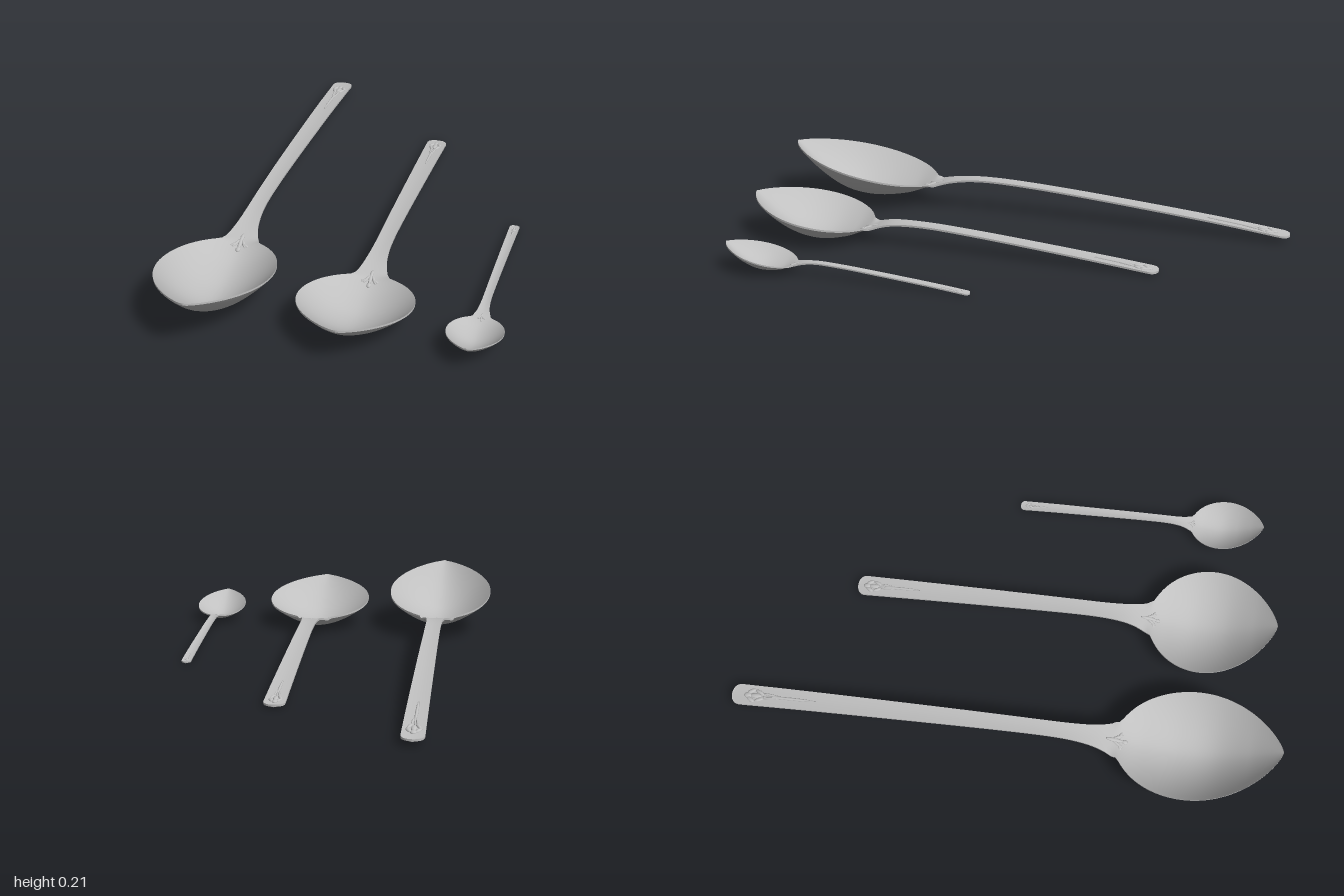
import * as THREE from 'three';
import { mergeGeometries } from 'three/addons/utils/BufferGeometryUtils.js';

// bend: [z, height] along the middle line, from handle end to bowl tip
const LARGE = {
  name: 'largeSpoon', x: -0.4, thick: 0.007, size: 1, neck: 0.41, widest: 0.68, halfBowl: 0.2,
  halfEnd: 0.039, halfShaft: 0.027, rimSlope: 0.19, flower: -0.91, stem: 0.21,
  bend: [[-1, 0.021], [-0.7, 0.055], [-0.3, 0.091], [0, 0.113], [0.2, 0.119], [0.33, 0.106], [0.43, 0.077],
    [0.52, 0.045], [0.65, 0.026], [0.77, 0.043], [0.89, 0.112], [1, 0.205]]
};
const MEDIUM = {
  name: 'mediumSpoon', x: 0.09, thick: 0.007, size: 0.9, neck: 0.48, widest: 0.69, halfBowl: 0.198,
  halfEnd: 0.038, halfShaft: 0.027, rimSlope: 0.176, flower: -0.555, stem: 0.16,
  bend: [[-0.617, 0.008], [-0.4, 0.03], [-0.1, 0.057], [0.1, 0.073], [0.26, 0.082], [0.39, 0.078], [0.48, 0.054],
    [0.56, 0.022], [0.66, 0.004], [0.76, 0.022], [0.86, 0.078], [0.945, 0.145]]
};
const SMALL = {
  name: 'smallSpoon', x: 0.5, thick: 0.005, size: 0.42, neck: 0.595, widest: 0.715, halfBowl: 0.096,
  halfEnd: 0.018, halfShaft: 0.014, rimSlope: 0.2, flower: -0.02, stem: 0.06,
  bend: [[-0.056, 0.004], [0.1, 0.02], [0.3, 0.037], [0.42, 0.046], [0.52, 0.049], [0.59, 0.038],
    [0.65, 0.017], [0.715, 0.011], [0.77, 0.026], [0.82, 0.055], [0.865, 0.09]]
};

// Half width at z: an egg-shaped bowl joined to a flared handle with a rounded end
function halfWidth(s, z) {
  const start = s.bend[0][0], tip = s.bend.at(-1)[0];
  const front = z > s.widest;
  const a = Math.min(1, front ? (z - s.widest) / (tip - s.widest) : (s.widest - z) / (s.widest - s.neck));
  const bowl = s.halfBowl * Math.pow(1 - a * a, front ? 0.75 : 0.5);
  const along = THREE.MathUtils.clamp((z - start) / (s.neck - 0.2 * s.size - start), 0, 1);
  const flare = 0.04 * s.size * Math.exp(-Math.abs(z - s.neck) / (0.07 * s.size));
  const round = Math.min(1, (z - start) / (0.04 * s.size));
  const handle = (THREE.MathUtils.lerp(s.halfEnd, s.halfShaft, along) + flare)
    * Math.sqrt(1 - Math.pow(1 - round, 3)) * (front ? 0 : a);
  return Math.pow(bowl ** 4 + handle ** 4, 0.25);
}

function buildSpoon(s, silver) {
  const spoon = new THREE.Group();
  spoon.name = s.name;
  spoon.position.x = s.x;
  const line = new THREE.SplineCurve(s.bend.map(([z, y]) => new THREE.Vector2(z, y)));
  const [tipZ, tipY] = s.bend.at(-1);

  // Point on the middle of the sheet: t runs along the spoon, u from -1 to 1 across it
  const sheet = (t, u) => {
    const c = line.getPoint((1 - Math.cos(Math.PI * t)) / 2);
    const rim = Math.max(c.y + 0.002, tipY + s.rimSlope * (c.x - tipZ));
    const y = c.y + (rim - c.y) * Math.pow(Math.abs(u), 1.8);
    return new THREE.Vector3(halfWidth(s, c.x) * u, y, c.x);
  };

  // A grid face bent onto the spoon; rule(u) gives [across, side of the sheet]
  const face = (nu, rule) => {
    const g = new THREE.PlaneGeometry(1, 1, nu, 140);
    const p = g.attributes.position, uv = g.attributes.uv;
    for (let i = 0; i < p.count; i++) {
      const [u, side] = rule(uv.getX(i));
      const q = sheet(1 - uv.getY(i), u);
      p.setXYZ(i, q.x, q.y + side * s.thick / 2, q.z);
    }
    g.computeVertexNormals();
    return g;
  };
  const body = new THREE.Mesh(mergeGeometries([
    face(24, (u) => [2 * u - 1, 1]),   // upper side
    face(1, (u) => [1, 1 - 2 * u]),    // left edge
    face(24, (u) => [1 - 2 * u, -1]),  // under side
    face(1, (u) => [-1, 2 * u - 1])    // right edge
  ]), silver);
  body.name = 'bowlAndHandle';
  spoon.add(body);

  // Height of the upper side along the middle line
  const topAt = (z) => {
    let a = 0, b = 1;
    for (let i = 0; i < 30; i++) {
      const m = (a + b) / 2;
      if (line.getPoint(m).x < z) a = m; else b = m;
    }
    return line.getPoint(a).y + s.thick / 2;
  };

  // Raised leaf lying on the surface, turned about the vertical; sizes scale with the spoon
  const k = s.size;
  const leaf = (name, x, z, width, length, turn = 0) => {
    const pivot = new THREE.Group();
    pivot.name = name;
    pivot.position.set(x * k, topAt(z), z);
    pivot.rotation.x = -Math.atan((topAt(z + 0.01) - topAt(z - 0.01)) / 0.02);
    const m = new THREE.Mesh(new THREE.SphereGeometry(1, 10, 8), silver);
    m.name = name + 'Relief';
    m.scale.set(width * k / 2, 0.006 * k, length * k / 2);
    m.rotation.y = turn;
    pivot.add(m);
    spoon.add(pivot);
  };

  // Flower with a long tapering stem near the handle end
  const f = s.flower, n = s.neck + 0.01 * k;
  leaf('flowerHeart', 0, f, 0.02, 0.045);
  leaf('flowerCrown', 0, f - 0.03 * k, 0.022, 0.03);
  leaf('stem', 0, f + 0.02 * k + s.stem / 2, 0.011, s.stem / k);

  // Fan of leaves where the handle meets the bowl
  leaf('neckLeaf', 0, n - 0.01 * k, 0.016, 0.075);
  leaf('neckBud', 0, n + 0.026 * k, 0.018, 0.024);

  // Mirrored petals and leaves
  for (const d of [-1, 1]) {
    leaf('upperPetal', d * 0.016, f - 0.018 * k, 0.016, 0.036, d * 0.5);
    leaf('lowerPetal', d * 0.014, f + 0.014 * k, 0.014, 0.04, -d * 0.4);
    leaf('stemLeaf', d * 0.007, f + 0.055 * k, 0.009, 0.07, -d * 0.1);
    leaf('neckSideLeaf', d * 0.013, n, 0.013, 0.05, d * 0.5);
    leaf('neckOuterLeaf', d * 0.022, n + 0.008 * k, 0.012, 0.034, d * 1.1);
  }
  return spoon;
}

export function createModel() {
  const silver = new THREE.MeshStandardMaterial({ color: 0xc0c0c0 });
  silver.name = 'silver';
  const model = new THREE.Group();
  model.name = 'spoonSet';
  for (const s of [LARGE, MEDIUM, SMALL]) model.add(buildSpoon(s, silver));
  return model;
}
